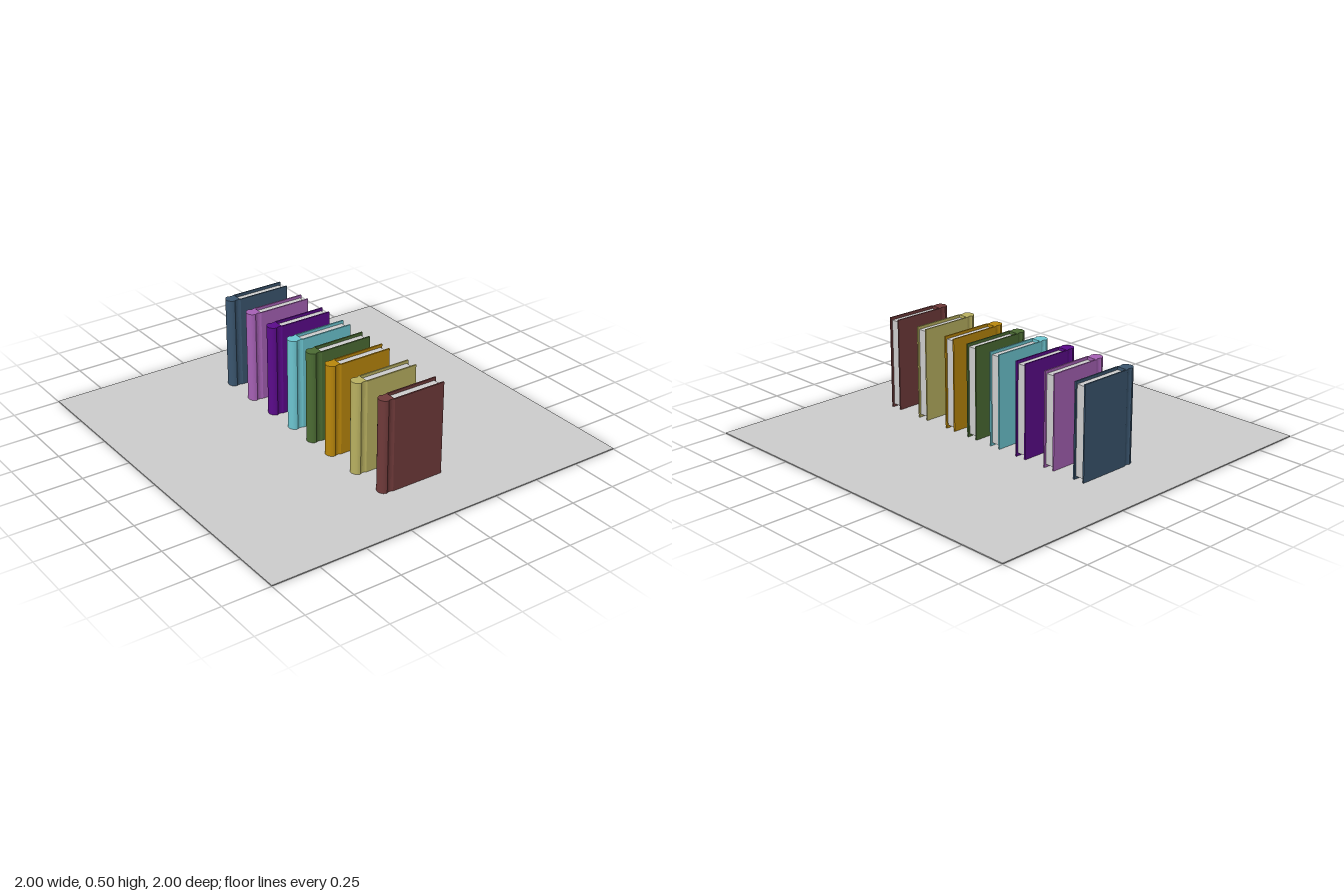
import * as THREE from 'three';

const BOOKS = [
  [0.66, 0x6f3a3a], [0.45, 0xb8b060], [0.243, 0xb8860b], [0.083, 0x4b6b33],
  [-0.08, 0x6cc5d0], [-0.26, 0x5a0a8a], [-0.45, 0xa560b4], [-0.645, 0x3a556e],
];
const BOTTOM = 0.005, HEIGHT = 0.49;

function part(name, geometry, color = 0xcccccc) {
  const mesh = new THREE.Mesh(geometry, new THREE.MeshStandardMaterial({ color }));
  mesh.name = name;
  return mesh;
}

// Case outline from above: rounded spine, pinched hinges, two thin boards
function caseGeometry() {
  const s = new THREE.Shape();
  s.moveTo(0.165, -0.034);
  s.lineTo(0.165, -0.026);
  s.lineTo(-0.12, -0.026);
  s.lineTo(-0.12, 0.026);
  s.lineTo(0.165, 0.026);
  s.lineTo(0.165, 0.034);
  s.lineTo(-0.12, 0.034);
  s.quadraticCurveTo(-0.138, 0.022, -0.155, 0.034);
  s.quadraticCurveTo(-0.172, 0.032, -0.18, 0.018);
  s.quadraticCurveTo(-0.19, 0, -0.18, -0.018);
  s.quadraticCurveTo(-0.172, -0.032, -0.155, -0.034);
  s.quadraticCurveTo(-0.138, -0.022, -0.12, -0.034);
  s.closePath();
  const g = new THREE.ExtrudeGeometry(s, { depth: HEIGHT, bevelEnabled: false, curveSegments: 5 });
  return g.rotateX(-Math.PI / 2).translate(0, BOTTOM, 0);
}

export function createModel() {
  const model = new THREE.Group();
  model.name = 'bookDisplay';

  // Thin square base
  const ground = part('base', new THREE.BoxGeometry(2, 0.005, 2));
  ground.position.y = 0.0025;
  model.add(ground);

  // Row of upright books, spines toward -x
  const cover = caseGeometry();
  const paper = new THREE.BoxGeometry(0.275, HEIGHT - 0.03, 0.052)
    .translate(0.0175, BOTTOM + HEIGHT / 2, 0);
  BOOKS.forEach(([z, color], i) => {
    const book = new THREE.Group();
    book.name = `book${i + 1}`;
    book.add(part('cover', cover, color), part('pages', paper));
    book.position.z = z;
    model.add(book);
  });
  return model;
}
